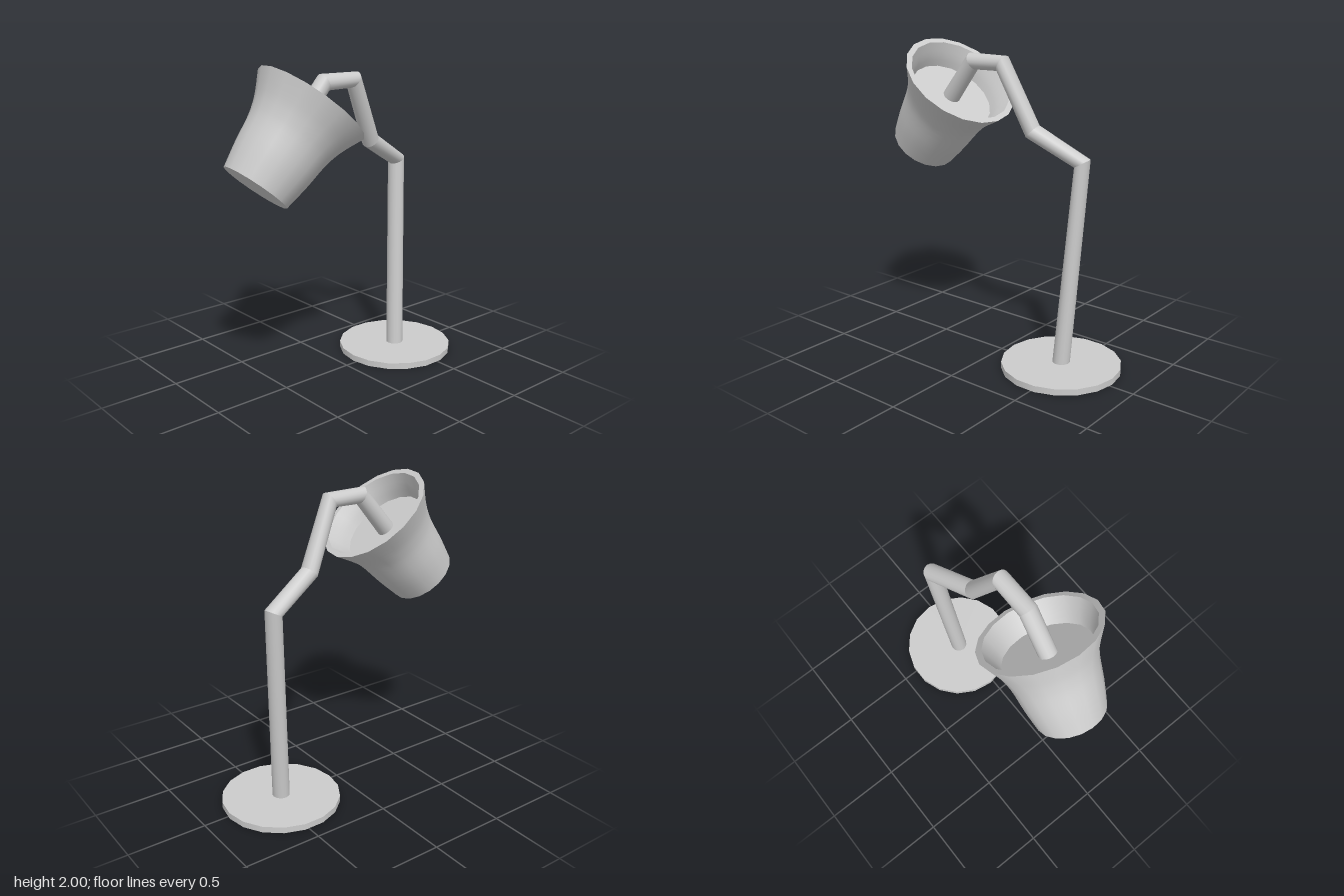
import * as THREE from 'three';
import { mergeGeometries } from 'three/addons/utils/BufferGeometryUtils.js';

const material = new THREE.MeshStandardMaterial({ color: 0xcccccc });
const SIDES = 18;

function addMesh(parent, name, geometry) {
  const mesh = new THREE.Mesh(geometry, material);
  mesh.name = name;
  parent.add(mesh);
  return mesh;
}

// Bent tube: a circle of equal radius sits in the bisecting plane of each joint
function bentTube(path, radius, sides) {
  const dirs = path.slice(1).map((p, i) => p.clone().sub(path[i]).normalize());
  let across = new THREE.Vector3(0, 0, 1);
  const rings = path.map((p, i) => {
    const tangent = new THREE.Vector3();
    if (i > 0) tangent.add(dirs[i - 1]);
    if (i < dirs.length) tangent.add(dirs[i]);
    tangent.normalize();
    across = across.clone().addScaledVector(tangent, -across.dot(tangent)).normalize();
    const other = tangent.clone().cross(across);
    return Array.from({ length: sides }, (_, k) => {
      const a = (k / sides) * Math.PI * 2;
      return p.clone()
        .addScaledVector(across, Math.cos(a) * radius)
        .addScaledVector(other, Math.sin(a) * radius);
    });
  });
  // Each length has its own vertices, so the joints stay sharp
  const lengths = dirs.map((_, i) => {
    const index = [];
    for (let k = 0; k < sides; k++) {
      const n = (k + 1) % sides;
      index.push(k, n, sides + k, n, sides + n, sides + k);
    }
    const g = new THREE.BufferGeometry().setFromPoints([...rings[i], ...rings[i + 1]]);
    g.setIndex(index);
    g.computeVertexNormals();
    return g;
  });
  return mergeGeometries(lengths);
}

// Turned shape made of separate profile pieces, with sharp edges between them
function turned(pieces) {
  return mergeGeometries(pieces.map((pts) => new THREE.LatheGeometry(pts, SIDES, Math.PI / 2)));
}

export function createModel() {
  const lamp = new THREE.Group();
  lamp.name = 'deskLamp';

  // Flat round foot
  const base = addMesh(lamp, 'base',
    new THREE.CylinderGeometry(0.38, 0.38, 0.04, SIDES, 1, false, Math.PI / 2));
  base.position.set(0.46, 0.02, -0.025);

  // Shade placement: centre of the open rim and the direction it faces
  const rim = new THREE.Vector3(-0.302, 1.765, 0.032);
  const axis = new THREE.Vector3(0.377, 0.455, 0.05).normalize();
  const floorDepth = 0.15;

  // Jointed arm from the foot to the floor of the shade
  const arm = [
    [0.46, 0.03, -0.025], [0.528, 1.315, -0.107], [0.219, 1.485, -0.025],
    [0.028, 1.885, 0.03], [-0.203, 1.885, 0.03],
  ].map((p) => new THREE.Vector3(...p));
  arm.push(rim.clone().addScaledVector(axis, -floorDepth - 0.005));
  addMesh(lamp, 'arm', bentTube(arm, 0.056, 16));

  // Flared shade: closed end, outer wall, rim, inner wall, inner floor
  const v = (x, y) => new THREE.Vector2(x, y);
  const outer = new THREE.SplineCurve([
    v(0.217, -0.592), v(0.246, -0.43), v(0.265, -0.28), v(0.283, -0.2), v(0.312, -0.12), v(0.371, 0),
  ]).getPoints(15);
  const inner = new THREE.SplineCurve([v(0.335, 0), v(0.295, -0.08), v(0.273, -floorDepth)]).getPoints(6);
  const shade = addMesh(lamp, 'shade', turned([
    [v(0, -0.592), v(0.217, -0.592)],
    outer,
    [v(0.371, 0), v(0.335, 0)],
    inner,
    [v(0.273, -floorDepth), v(0, -floorDepth)],
  ]));
  shade.position.copy(rim);
  shade.quaternion.setFromUnitVectors(new THREE.Vector3(0, 1, 0), axis);

  return lamp;
}
